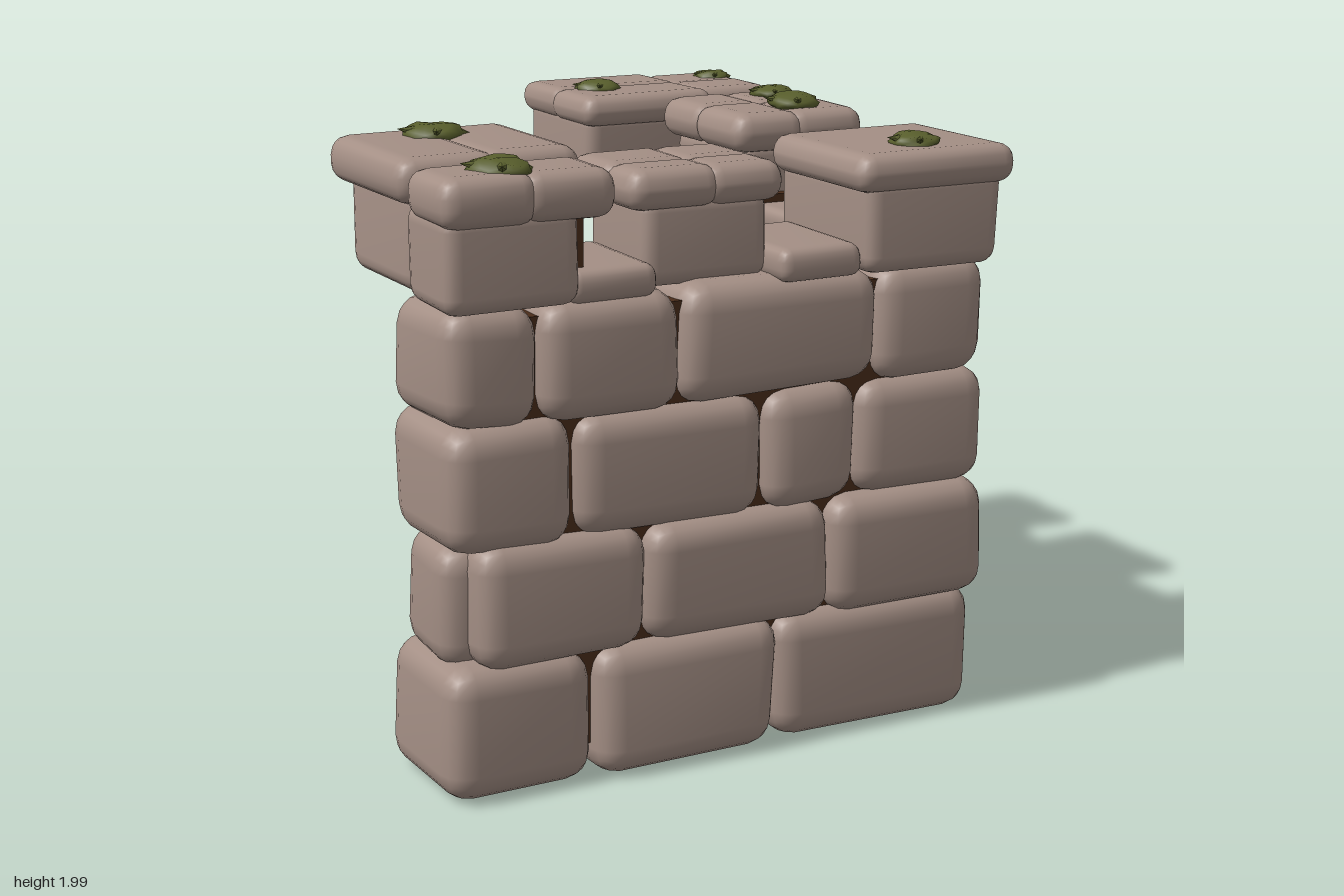
import * as THREE from 'three';
import { mergeVertices } from 'three/addons/utils/BufferGeometryUtils.js';
import { RoundedBoxGeometry } from 'three/addons/geometries/RoundedBoxGeometry.js';

const mat = (name, color) => {
  const m = new THREE.MeshStandardMaterial({ color });
  m.name = name;
  return m;
};

export function createModel() {
  const group = new THREE.Group();
  const stoneMat = mat('stone', 0xa48f85);
  const mortarMat = mat('mortar', 0x4a2d1b);
  const mossMat = mat('moss', 0x585e2c);

  let seed = 11;
  const rand = () => {
    seed = (seed * 16807) % 2147483647;
    return seed / 2147483647 - 0.5;
  };

  function add(geo, material, name) {
    const mesh = new THREE.Mesh(geo, material);
    mesh.name = name;
    group.add(mesh);
    return mesh;
  }

  // Soft-edged block between two corners; wobble shifts its eight corners,
  // lean moves the -z and +z faces along z at the bottom edge, leanX the +x face along x.
  function stone(name, [x0, x1], [y0, y1], [z0, z1], { r = 0.09, wobble = 0.035, lean = [0, 0], leanX = 0 } = {}) {
    const w = x1 - x0, h = y1 - y0, d = z1 - z0;
    let geo = new RoundedBoxGeometry(w, h, d, 2, Math.min(r, w * 0.4, h * 0.45, d * 0.4));
    geo.deleteAttribute('uv');
    geo.deleteAttribute('normal');
    geo = mergeVertices(geo, 1e-4);
    const shift = Array.from({ length: 8 }, () => [rand() * wobble, rand() * wobble * 0.7, rand() * wobble]);
    const p = geo.attributes.position;
    for (let i = 0; i < p.count; i++) {
      const v = [p.getX(i), p.getY(i), p.getZ(i)];
      const t = [v[0] / w + 0.5, v[1] / h + 0.5, v[2] / d + 0.5];
      for (let c = 0; c < 8; c++) {
        const k = (c & 1 ? t[0] : 1 - t[0]) * (c & 2 ? t[1] : 1 - t[1]) * (c & 4 ? t[2] : 1 - t[2]);
        for (let a = 0; a < 3; a++) v[a] += shift[c][a] * k;
      }
      v[0] += (1 - t[1]) * leanX * t[0];
      v[2] += (1 - t[1]) * (lean[0] * (1 - t[2]) + lean[1] * t[2]);
      p.setXYZ(i, ...v);
    }
    geo.computeVertexNormals();
    add(geo, stoneMat, name).position.set((x0 + x1) / 2, (y0 + y1) / 2, (z0 + z1) / 2);
  }

  const rows = [[0.015, 0.44], [0.415, 0.815], [0.795, 1.19], [1.175, 1.545]];

  // Front wall: x spans for each course, with its depth
  const front = [
    { z: [0.46, 0.96], x: [[-0.965, -0.48], [-0.485, 0.18]] },
    { z: [0.5, 0.965], x: [[-0.89, -0.295], [-0.3, 0.36]] },
    { z: [0.5, 0.95], x: [[-0.975, -0.535], [-0.54, 0.125], [0.125, 0.46]] },
    { z: [0.5, 0.95], x: [[-0.975, -0.65], [-0.655, -0.17], [-0.18, 0.525]] },
  ];
  front.forEach((row, i) => row.x.forEach((x) => stone('frontWallStone', x, rows[i], row.z)));
  stone('frontWallEndStone', [-0.955, -0.65], rows[1], [0.52, 0.86]);

  // Corner stones shared by both walls
  stone('cornerStone', [0.175, 0.95], rows[0], [0.38, 0.95]);
  stone('cornerStone', [0.355, 0.95], rows[1], [0.74, 0.97]);
  stone('cornerStone', [0.455, 0.95], rows[2], [0.525, 0.95]);
  stone('cornerStone', [0.52, 0.94], rows[3], [0.53, 0.94], { lean: [0.12, 0] });
  stone('cornerFiller', [0.52, 0.9], [1.3, 1.54], [0.45, 0.74]);

  // Side wall: z spans for each course, with its depth
  const side = [
    { x: [0.48, 0.955], z: [[-0.335, 0.38], [-0.925, -0.335]] },
    { x: [0.5, 0.96], z: [[0.165, 0.825], [-0.445, 0.17], [-0.815, -0.44]] },
    { x: [0.5, 0.95], z: [[-0.115, 0.53], [-0.415, -0.115], [-0.915, -0.405]] },
    { x: [0.5, 0.95], z: [[0.215, 0.54], [-0.305, 0.225], [-0.81, -0.3]] },
  ];
  const depths = { '1,0': [0.66, 0.965], '1,1': [0.52, 0.99] };
  side.forEach((row, i) => row.z.forEach((z, j) => {
    const lean = i === 3 ? [[0, 0], [0.07, 0], [0, 0.07]][j] : [0, 0];
    stone('sideWallStone', depths[`${i},${j}`] ?? row.x, rows[i], z, { lean });
  }));
  for (const i of [1, 3]) stone('sideWallEndStone', [0.52, 0.93], rows[i], [-0.915, -0.66]);

  // Mortar cores behind the joints
  const mortar = (x, y, z) => {
    const g = new THREE.BoxGeometry(x[1] - x[0], y[1] - y[0], z[1] - z[0]);
    add(g, mortarMat, 'mortar').position.set((x[0] + x[1]) / 2, (y[0] + y[1]) / 2, (z[0] + z[1]) / 2);
  };
  mortar([-0.84, 0.87], [0.12, 1.5], [0.57, 0.885]);
  mortar([0.57, 0.875], [0.12, 1.5], [-0.74, 0.6]);
  mortar([-0.85, -0.49], [1.6, 1.84], [0.5, 0.88]);
  mortar([0.4, 0.87], [1.62, 1.84], [-0.88, -0.57]);
  mortar([0.53, 0.89], [1.58, 1.66], [0.1, 0.19]);

  // Low stones between the merlons
  const low = [1.53, 1.635], soft = { r: 0.04, wobble: 0.012 };
  stone('crenelStone', [-0.56, -0.26], low, [0.5, 0.94], soft);
  stone('crenelStone', [0.16, 0.46], low, [0.5, 0.95], soft);
  stone('crenelStone', [0.51, 0.93], low, [0.15, 0.46], soft);
  stone('crenelStone', [0.51, 0.93], low, [-0.57, -0.29], soft);

  // Merlon bodies
  const body = { r: 0.055, wobble: 0.02 };
  stone('leftMerlon', [-0.975, -0.535], [1.53, 1.84], [0.65, 0.965], body);
  stone('leftMerlonInner', [-0.96, -0.43], [1.55, 1.87], [0.16, 0.68], { ...body, leanX: -0.08, lean: [0.05, 0] });
  stone('middleMerlon', [-0.275, 0.175], [1.53, 1.82], [0.48, 0.85], body);
  stone('cornerMerlon', [0.45, 0.965], [1.53, 1.84], [0.44, 0.97], body);
  stone('sideMerlon', [0.48, 0.92], [1.53, 1.84], [-0.31, 0.15], body);
  stone('endMerlonInner', [0.22, 0.72], [1.55, 1.87], [-0.97, -0.49], body);
  stone('endMerlon', [0.69, 0.96], [1.54, 1.87], [-0.94, -0.52], body);

  // Cap slabs, cut by shallow seams at the given x and z
  function cap(name, x, y, z, seamsX = [], seamsZ = []) {
    const split = ([a, b], seams) => {
      const cuts = [a, ...seams, b];
      return cuts.slice(1).map((end, i) => [cuts[i] - (i ? 0.028 : 0), end + (end === b ? 0 : 0.028)]);
    };
    for (const sx of split(x, seamsX))
      for (const sz of split(z, seamsZ)) stone(name, sx, y, sz, { r: 0.06, wobble: 0.008 });
  }
  cap('leftCapInner', [-1, -0.39], [1.82, 1.965], [0.1, 0.7], [-0.69]);
  cap('leftCap', [-0.99, -0.42], [1.79, 1.945], [0.69, 0.99], [-0.7]);
  cap('middleCap', [-0.325, 0.22], [1.775, 1.905], [0.435, 0.88], [-0.035], [0.685]);
  cap('cornerCap', [0.41, 1], [1.79, 1.915], [0.42, 1]);
  cap('sideCap', [0.435, 0.945], [1.8, 1.935], [-0.365, 0.195], [0.68], [-0.1]);
  cap('endCapInner', [0.2, 0.72], [1.82, 1.93], [-1, -0.46], [], [-0.73]);
  cap('endCap', [0.68, 0.985], [1.825, 1.925], [-0.96, -0.51], [], [-0.73]);

  // Moss clumps: a lumpy low dome with two pointed sprigs
  function moss(x, y, z, r) {
    const geo = mergeVertices(new THREE.IcosahedronGeometry(r, 2).deleteAttribute('uv').deleteAttribute('normal'));
    const p = geo.attributes.position;
    for (let i = 0; i < p.count; i++) {
      const k = 1 + rand() * 0.26;
      p.setXYZ(i, p.getX(i) * k, p.getY(i) * k * 0.38, p.getZ(i) * k);
    }
    geo.computeVertexNormals();
    add(geo, mossMat, 'moss').position.set(x, y, z);
    for (const a of [1.9, 3.2]) {
      const sprig = add(new THREE.ConeGeometry(r * 0.26, r * 0.8, 6), mossMat, 'mossSprig');
      sprig.position.set(x + Math.cos(a) * r * 0.85, y + r * 0.16, z + Math.sin(a) * r * 0.85);
      sprig.rotation.set(Math.sin(a) * 1.4, 0, -Math.cos(a) * 1.4);
    }
  }
  moss(-0.7, 1.965, 0.27, 0.1);
  moss(-0.75, 1.945, 0.85, 0.1);
  moss(0.36, 1.93, -0.69, 0.08);
  moss(0.91, 1.925, -0.82, 0.065);
  moss(0.81, 1.94, -0.22, 0.075);
  moss(0.74, 1.945, 0.04, 0.09);
  moss(0.71, 1.92, 0.83, 0.08);

  return group;
}
